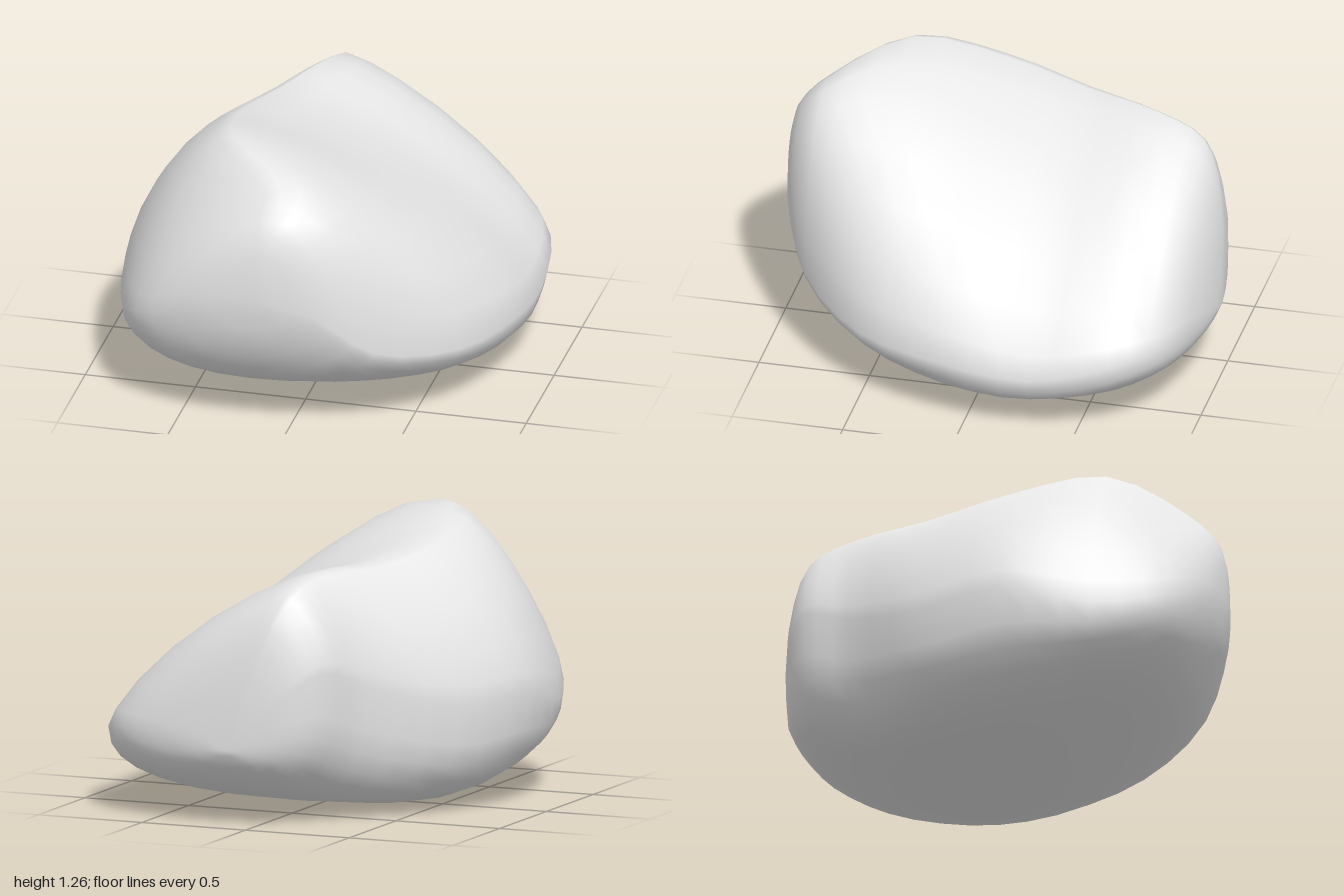
import * as THREE from 'three';
import { mergeVertices } from 'three/addons/utils/BufferGeometryUtils.js';

const frontTip = new THREE.Vector3(-0.1, 0.7, 1);
const backTip = new THREE.Vector3(0.1, 0.35, -1);
const stations = [0.96, 0.82, 0.5, 0.1, -0.3, -0.65, -0.86, -0.96];

// Lengthwise rail from the front tip to the back tip, given x and y at each station
function rail(xs, ys) {
  const points = stations.map((z, i) => new THREE.Vector3(xs[i], ys[i], z));
  return new THREE.CatmullRomCurve3([frontTip, ...points, backTip]);
}

const leftEdge = rail(
  [0.13, 0.39, 0.7, 0.85, 0.87, 0.82, 0.65, 0.36],
  [0.64, 0.42, 0.33, 0.31, 0.28, 0.36, 0.4, 0.4]);
const crest = rail(
  [-0.06, -0.03, -0.33, -0.39, -0.3, -0.18, -0.13, -0.05],
  [1.0, 1.17, 1.26, 1.18, 1.12, 1.11, 1.03, 0.8]);
const rightEdge = rail(
  [-0.4, -0.69, -0.84, -0.87, -0.71, -0.42, -0.32, -0.17],
  [0.64, 0.5, 0.42, 0.51, 0.5, 0.62, 0.7, 0.6]);
const keel = rail(
  [-0.15, -0.2, -0.15, -0.1, -0.05, 0.05, 0.1, 0.1],
  [0.47, 0.25, 0.1, 0.005, 0.03, 0.1, 0.19, 0.27]);

// Quarter of a section: power 1 is an ellipse, 2 a straight slope, below 1 a fuller corner
function quarter(side, end, t, power) {
  const c = Math.cos(t * Math.PI / 2) ** power;
  const s = Math.sin(t * Math.PI / 2) ** power;
  return [
    end.x + (side.x - end.x) * c,
    side.y + (end.y - side.y) * s,
    side.z * (1 - t) + end.z * t,
  ];
}

function rockGeometry() {
  const rows = 27, steps = 7, cols = 4 * steps;
  const positions = [], index = [];

  // Rings running left edge, crest, right edge, keel
  for (let i = 0; i <= rows; i++) {
    const [left, top, right, bottom] = [leftEdge, crest, rightEdge, keel].map(r => r.getPoint(i / rows));
    const longSlope = 1.3 - 0.3 * top.z; // flattens towards the back
    const lowRight = Math.max(0.65, 0.7 + 0.25 * bottom.z);
    const lowLeft = Math.max(0.8, 0.85 + 0.25 * bottom.z);
    for (let j = 0; j < cols; j++) {
      const t = (j % steps) / steps;
      const part = Math.floor(j / steps);
      if (part === 0) positions.push(...quarter(left, top, t, longSlope));
      else if (part === 1) positions.push(...quarter(right, top, 1 - t, 1.35));
      else if (part === 2) positions.push(...quarter(right, bottom, t, lowRight));
      else positions.push(...quarter(left, bottom, 1 - t, lowLeft));
    }
  }

  // Skin between rings, single triangles at the tips
  for (let i = 0; i < rows; i++) {
    for (let j = 0; j < cols; j++) {
      const a = i * cols + j, b = i * cols + (j + 1) % cols;
      const d = a + cols, c = b + cols;
      if (i > 0) index.push(a, d, b);
      if (i < rows - 1) index.push(b, d, c);
    }
  }
  const skin = new THREE.BufferGeometry();
  skin.setAttribute('position', new THREE.Float32BufferAttribute(positions, 3));
  skin.setIndex(index);
  const geometry = mergeVertices(skin, 1e-5);
  geometry.computeVertexNormals();
  return geometry;
}

export function createModel() {
  const stone = new THREE.MeshStandardMaterial({ color: 0xe7e7e7 });
  stone.name = 'paleStone';
  const boulder = new THREE.Mesh(rockGeometry(), stone);
  boulder.name = 'boulder';
  const group = new THREE.Group();
  group.name = 'rock';
  group.add(boulder);
  return group;
}
